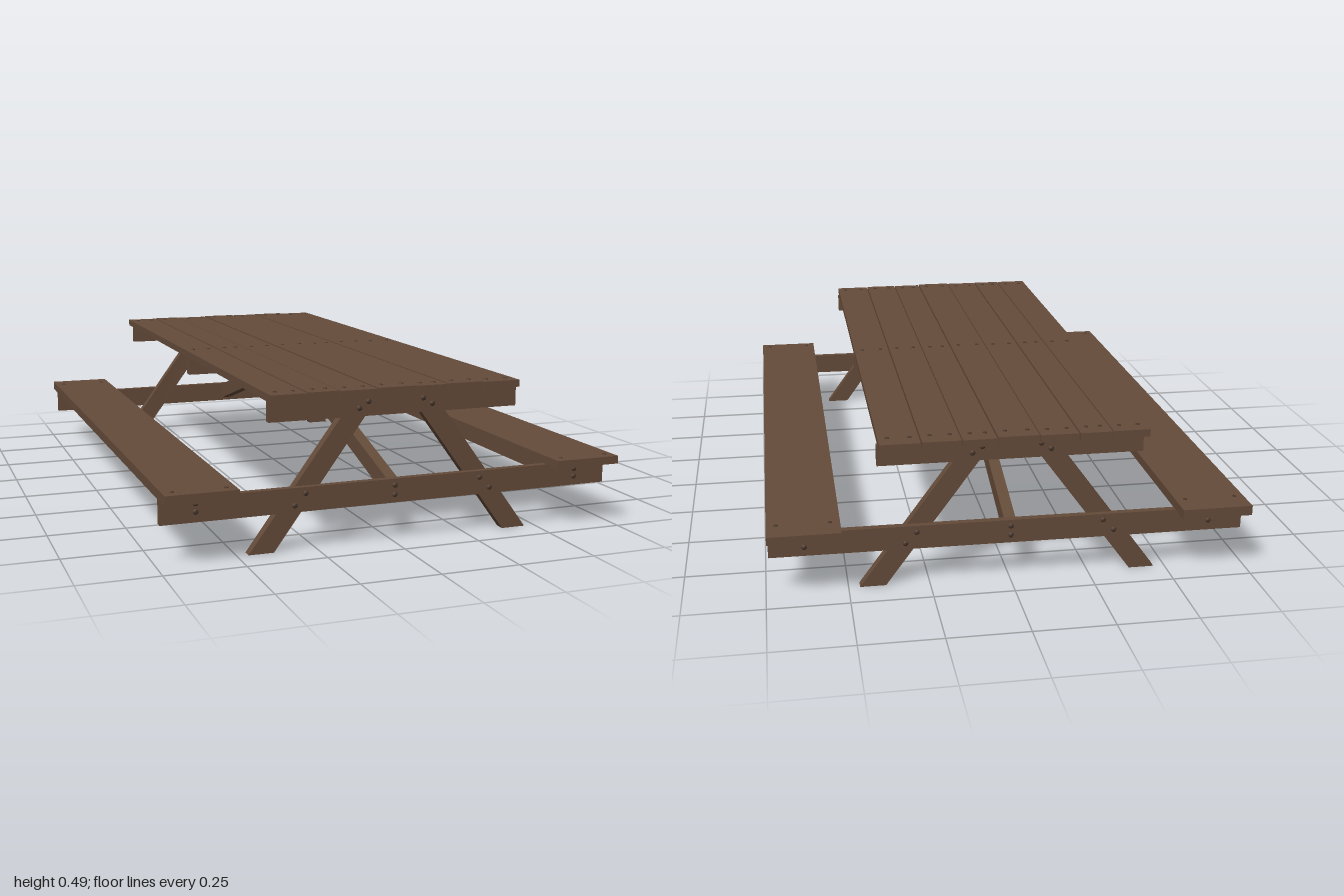
import * as THREE from 'three';

export function createModel() {
  const group = new THREE.Group();
  const wood = new THREE.MeshStandardMaterial({ color: 0x644b39 });
  wood.name = 'brown wood';
  const iron = new THREE.MeshStandardMaterial({ color: 0x49372b });
  iron.name = 'dark iron';

  const add = (name, geometry, x, y, z, material = wood) => {
    const mesh = new THREE.Mesh(geometry, material);
    mesh.name = name;
    mesh.position.set(x, y, z);
    group.add(mesh);
    return mesh;
  };
  // Board given by its lower and upper corners
  const board = (name, x0, x1, y0, y1, z0, z1) =>
    add(name, new THREE.BoxGeometry(x1 - x0, y1 - y0, z1 - z0),
      (x0 + x1) / 2, (y0 + y1) / 2, (z0 + z1) / 2);

  const nailGeo = new THREE.CylinderGeometry(0.006, 0.007, 0.003, 8);
  const boltGeo = new THREE.SphereGeometry(0.009, 10, 4, 0, Math.PI * 2, 0, Math.PI / 2);
  boltGeo.scale(1, 0.6, 1);
  const nail = (x, y, z) => add('nail', nailGeo, x, y + 0.001, z, iron);

  // Table top: seven planks of slightly uneven width and length
  const edges = [-0.414, -0.297, -0.195, -0.075, 0.053, 0.159, 0.279, 0.405];
  const shifts = [0.002, -0.002, 0.001, 0, -0.004, -0.006, -0.004];
  const lifts = [0, 0.001, 0, 0.002, 0, 0.001, -0.001];
  for (let i = 0; i < 7; i++) {
    const x0 = edges[i] + 0.002, x1 = edges[i + 1] - 0.002;
    const top = 0.489 + lifts[i];
    board('tablePlank', x0, x1, 0.466, top, -0.97 + shifts[i], 0.952 + shifts[i]);
    for (const z of [-0.92, -0.008, 0.905]) {
      nail(x0 + 0.028, top, z);
      nail(x1 - 0.028, top, z);
    }
  }
  board('middleTopBearer', -0.405, 0.405, 0.402, 0.466, -0.016, 0.016);

  // Seats on lengthwise rails
  for (const side of [-1, 1]) {
    const base = side < 0 ? 0.2 : 0.206;
    const cx = side * 0.63;
    board('seatBoard', cx - 0.11, cx + 0.11, base, 0.231, -1, 1);
    board('seatRail', cx - 0.02, cx + 0.02, 0.13, base, -0.9, 0.9);
    for (const z of [-0.92, 0.965])
      for (const dx of [-0.08, 0.08]) nail(cx + dx, 0.231, z);
  }

  // Slanted leg, cut level at the floor and under the table top
  const legShape = new THREE.Shape([
    new THREE.Vector2(0.385, 0), new THREE.Vector2(0.465, 0),
    new THREE.Vector2(0.125, 0.464), new THREE.Vector2(0.045, 0.464)]);
  const legGeo = new THREE.ExtrudeGeometry(legShape, { depth: 0.032, bevelEnabled: false });
  legGeo.translate(0, 0, -0.016);

  const bolts = [[0, 0.18], [0, 0.15]];
  for (const s of [-1, 1])
    bolts.push([s * 0.29, 0.18], [s * 0.325, 0.145], [s * 0.63, 0.18],
      [s * 0.63, 0.155], [s * 0.12, 0.427], [s * 0.09, 0.446]);

  // End frames, front and back
  for (const end of [-1, 1]) {
    const z = end * 0.909;
    add('topBearer', new THREE.BoxGeometry(0.814, 0.064, 0.022), 0, 0.434, z);
    const beam = add('seatBearer', new THREE.BoxGeometry(1.475, 0.075, 0.022), 0, 0.1625, z);
    beam.rotation.z = 0.003;
    for (let k = 0; k < 2; k++)
      add('leg', legGeo, 0, 0, end * 0.886).rotation.y = k * Math.PI;
    for (const [x, y] of bolts)
      add('bolt', boltGeo, x, y, end * 0.919, iron).rotation.x = end * Math.PI / 2;

    // Diagonal brace from the table middle down to the seat bearer
    const braceShape = new THREE.Shape([
      new THREE.Vector2(0, 0.408), new THREE.Vector2(0.9, 0.136),
      new THREE.Vector2(0.9, 0.196), new THREE.Vector2(0, 0.466)]);
    const braceGeo = new THREE.ExtrudeGeometry(braceShape, { depth: 0.036, bevelEnabled: false });
    braceGeo.translate(0, 0, -0.018);
    add('diagonalBrace', braceGeo, 0, 0, 0).rotation.y = -end * Math.PI / 2;
  }
  return group;
}
